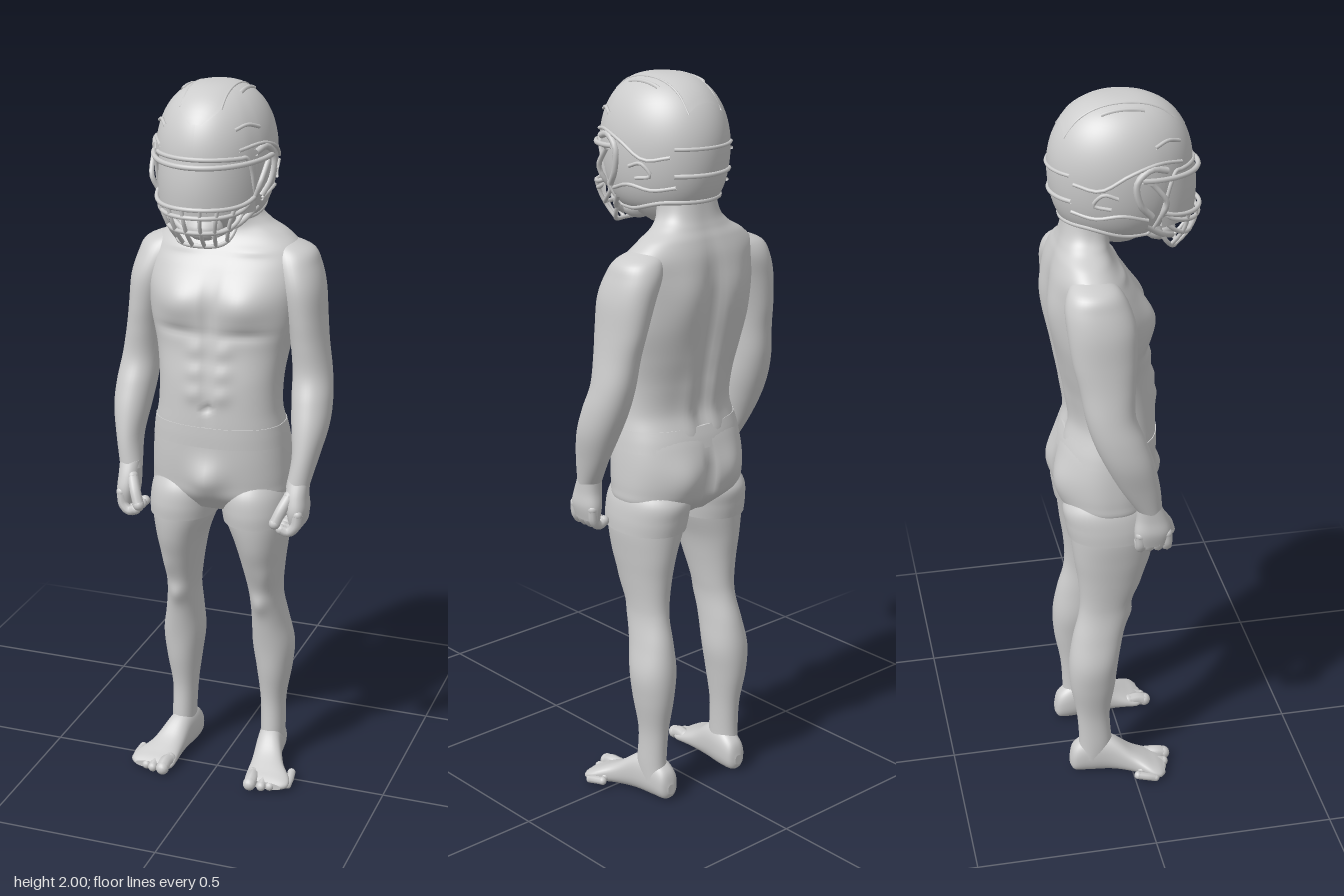
import * as THREE from 'three';

const grey = new THREE.MeshStandardMaterial({ color: 0xcccccc, side: THREE.DoubleSide });
grey.name = 'plain grey';
const V = (x, y, z) => new THREE.Vector3(x, y, z);

function add(parent, name, geometry) {
  const mesh = new THREE.Mesh(geometry, grey);
  mesh.name = name;
  parent.add(mesh);
  return mesh;
}

// Smooth loft through horizontal sections [y, centreX, halfWidth, zFront, zBack], listed upwards.
// Bumps [x, y, side, widthX, widthY, amount] swell the front (1) or back (-1), mirrored when off-centre.
function loft(sections, { side = 1, grow = 0, power = 0.85, n = 40, steps = 6, bumps = [] } = {}) {
  const pos = [], index = [];
  const last = sections.length - 1, rows = last * steps;
  const at = (i) => sections[Math.min(last, Math.max(0, i))];
  const sample = (u) => {
    const i = Math.min(last - 1, Math.floor(u)), t = u - i;
    const [a, b, c, d] = [at(i - 1), at(i), at(i + 1), at(i + 2)];
    return b.map((_, k) => 0.5 * (2 * b[k] + (c[k] - a[k]) * t
      + (2 * a[k] - 5 * b[k] + 4 * c[k] - d[k]) * t * t
      + (3 * b[k] - a[k] - 3 * c[k] + d[k]) * t * t * t));
  };
  const ring = (r) => {
    const [y, cx, rx, zf, zb] = sample(r / steps);
    for (let j = 0; j < n; j++) {
      const a = j / n * Math.PI * 2, c = Math.cos(a), s = Math.sin(a);
      const x = Math.sign(c) * Math.abs(c) ** power * (rx + grow) + cx * side;
      let z = (zf + zb) / 2 + Math.sign(s) * Math.abs(s) ** power * ((zf - zb) / 2 + grow);
      for (const [bx, by, face, wx, wy, amount] of bumps) {
        if (face * s <= 0) continue;
        const centres = bx ? [bx, -bx] : [0];
        for (const m of centres) {
          z += face * amount * Math.abs(s) * Math.exp(-(((x - m) / wx) ** 2) - ((y - by) / wy) ** 2);
        }
      }
      pos.push(x, y, z);
    }
  };
  for (let r = 0; r <= rows; r++) ring(r);
  for (let r = 0; r < rows; r++) for (let j = 0; j < n; j++) {
    const a = r * n + j, b = r * n + (j + 1) % n;
    index.push(a, a + n, b, b, a + n, b + n);
  }
  // separate end caps keep their edges crisp
  for (const r of [0, rows]) {
    const start = pos.length / 3, [y, cx, , zf, zb] = sample(r / steps);
    ring(r);
    pos.push(cx * side, y, (zf + zb) / 2);
    for (let j = 0; j < n; j++) {
      const a = start + j, b = start + (j + 1) % n;
      index.push(start + n, r ? b : a, r ? a : b);
    }
  }
  const g = new THREE.BufferGeometry();
  g.setAttribute('position', new THREE.Float32BufferAttribute(pos, 3));
  g.setIndex(index);
  g.computeVertexNormals();
  return g;
}

function tube(parent, name, points, radius, closed = false) {
  const curve = new THREE.CatmullRomCurve3(points, closed);
  add(parent, name, new THREE.TubeGeometry(curve, points.length * 3, radius, 8, closed));
}

// Tube with rounded ends
function digit(parent, name, points, radius) {
  tube(parent, name, points, radius);
  for (const p of [points[0], points.at(-1)]) ball(parent, name + 'Tip', p, radius, radius, radius);
}

function ball(parent, name, p, rx, ry, rz) {
  const mesh = add(parent, name, new THREE.SphereGeometry(1, 14, 10));
  mesh.scale.set(rx, ry, rz);
  mesh.position.copy(p);
}

function buildTorso(g) {
  const bumps = [
    [0.095, 1.415, 1, 0.075, 0.055, 0.026], [0, 1.4, 1, 0.014, 0.08, -0.012],
    [0.1, 1.335, 1, 0.07, 0.015, -0.008], [0.1, 1.55, 1, 0.06, 0.012, 0.006],
    [0, 1.2, 1, 0.01, 0.12, -0.006], [0, 1.13, 1, 0.01, 0.01, -0.014],
    [0, 1.3, -1, 0.025, 0.2, -0.02], [0.085, 1.45, -1, 0.065, 0.09, 0.018],
    [0.045, 1.15, -1, 0.028, 0.1, 0.008],
    ...[1.29, 1.23, 1.17].map((y) => [0.04, y, 1, 0.026, 0.024, 0.008]),
  ];
  add(g, 'torso', loft([
    [0.98, 0, 0.18, 0.08, -0.17], [1.05, 0, 0.184, 0.087, -0.166], [1.12, 0, 0.172, 0.087, -0.148],
    [1.2, 0, 0.172, 0.083, -0.16], [1.28, 0, 0.184, 0.07, -0.178], [1.36, 0, 0.203, 0.065, -0.19],
    [1.44, 0, 0.213, 0.054, -0.193], [1.5, 0, 0.214, 0.028, -0.193], [1.55, 0, 0.205, -0.005, -0.19],
    [1.59, 0, 0.165, -0.03, -0.18], [1.62, 0, 0.115, -0.035, -0.168], [1.66, 0, 0.086, -0.025, -0.157],
    [1.76, 0, 0.08, 0, -0.14],
  ], { bumps, n: 96, steps: 8 }));
  add(g, 'shorts', loft([
    [0.83, 0, 0.13, 0.045, -0.13], [0.87, 0, 0.19, 0.073, -0.17], [0.91, 0, 0.197, 0.08, -0.182],
    [0.97, 0, 0.195, 0.086, -0.185], [1.03, 0, 0.189, 0.088, -0.175], [1.07, 0, 0.181, 0.088, -0.161],
  ], { n: 96, bumps: [
    [0, 0.925, 1, 0.045, 0.05, 0.03], [0.085, 0.94, -1, 0.06, 0.065, 0.02], [0, 0.92, -1, 0.013, 0.07, -0.022],
  ] }));
  add(g, 'waistband', loft([
    [1.02, 0, 0.19, 0.088, -0.177], [1.05, 0, 0.186, 0.089, -0.169], [1.078, 0, 0.181, 0.089, -0.159],
  ], { grow: 0.001, n: 64 }));
}

function buildLeg(g, side) {
  const p = side > 0 ? 'left' : 'right';
  add(g, p + 'Leg', loft([
    [0.05, 0.136, 0.034, -0.055, -0.16], [0.1, 0.138, 0.034, -0.055, -0.15], [0.2, 0.136, 0.036, -0.06, -0.155],
    [0.3, 0.138, 0.05, -0.045, -0.172], [0.38, 0.136, 0.059, -0.035, -0.175], [0.46, 0.13, 0.051, -0.02, -0.163],
    [0.53, 0.125, 0.045, -0.003, -0.145], [0.58, 0.122, 0.048, 0.008, -0.14], [0.65, 0.12, 0.058, 0.035, -0.145],
    [0.72, 0.117, 0.071, 0.06, -0.155], [0.8, 0.107, 0.09, 0.073, -0.163], [0.87, 0.1, 0.09, 0.068, -0.165],
  ], { side, power: 0.95, bumps: [[0.122, 0.53, 1, 0.025, 0.03, 0.009], [0.155, 0.62, 1, 0.025, 0.04, 0.006]] }));
  add(g, p + 'ShortsLeg', loft([
    [0.79, 0.108, 0.09, 0.074, -0.163], [0.83, 0.105, 0.093, 0.077, -0.17],
    [0.88, 0.1, 0.091, 0.07, -0.172], [0.93, 0.1, 0.07, 0.04, -0.13],
  ], { side, grow: 0.005, power: 0.95 }));

  // foot: lofted upright along its length, then laid forward
  add(g, p + 'Foot', loft([
    [-0.176, 0.13, 0.012, -0.02, -0.05], [-0.163, 0.13, 0.03, -0.003, -0.088], [-0.12, 0.132, 0.037, 0, -0.115],
    [-0.06, 0.14, 0.038, 0, -0.112], [0, 0.155, 0.048, 0, -0.07], [0.045, 0.171, 0.063, 0, -0.047],
    [0.072, 0.174, 0.064, 0, -0.035], [0.088, 0.17, 0.052, -0.004, -0.026],
  ], { side }).rotateX(Math.PI / 2));
  for (let i = 0; i < 5; i++) {
    const x = (i ? 0.143 + i * 0.0225 : 0.133) * side, r = i ? 0.0145 - i * 0.0007 : 0.019;
    const z = 0.1 - i * 0.005 - i * i * 0.0015;
    digit(g, p + 'Toe', [V(x - 0.004 * side, 0.024, z - 0.05), V(x, r + 0.006, z - 0.02), V(x, r, z)], r);
  }
}

function buildArm(g, side) {
  const p = side > 0 ? 'left' : 'right';
  add(g, p + 'Arm', loft([
    [0.92, 0.242, 0.031, 0.064, 0.0], [1.0, 0.255, 0.036, 0.055, -0.05], [1.08, 0.258, 0.05, 0.038, -0.092],
    [1.15, 0.254, 0.055, 0.015, -0.122], [1.22, 0.247, 0.053, -0.01, -0.142], [1.3, 0.237, 0.05, -0.008, -0.155],
    [1.37, 0.227, 0.052, -0.002, -0.17], [1.45, 0.212, 0.06, 0.0, -0.18], [1.51, 0.193, 0.063, -0.015, -0.182],
    [1.55, 0.175, 0.06, -0.038, -0.168], [1.575, 0.14, 0.035, -0.07, -0.14],
  ], { side, power: 0.95 }));
  add(g, p + 'Palm', loft([
    [0.82, 0.246, 0.02, 0.08, -0.008], [0.86, 0.247, 0.029, 0.087, -0.012], [0.9, 0.244, 0.03, 0.077, -0.006],
    [0.94, 0.244, 0.03, 0.06, -0.005],
  ], { side, n: 32 }));
  for (let i = 0; i < 4; i++) {
    const z = 0.003 + i * 0.024;
    digit(g, p + 'Finger', [V(0.256 * side, 0.855, z), V(0.25 * side, 0.82, z + 0.002),
      V(0.232 * side, 0.804, z + 0.004), V(0.212 * side, 0.81, z + 0.006)], 0.0145);
  }
  digit(g, p + 'Thumb', [V(0.228 * side, 0.9, 0.06), V(0.212 * side, 0.865, 0.082), V(0.198 * side, 0.83, 0.094)], 0.016);
}

// Helmet shell point at height y and angle phi from the front, pushed out by off
function onShell(y, phi, off = 0) {
  const c = THREE.MathUtils.clamp((y - 1.82) / 0.18, -1, 1);
  const s = Math.sqrt(1 - c * c) ** (c > 0 ? 0.75 : 0.45);
  return V((0.156 * s + off) * Math.sin(phi), y + off * Math.max(0, c), -0.002 + (0.188 * s + off) * Math.cos(phi));
}
const shellEdge = (phi) => {
  const a = Math.abs(Math.atan2(Math.sin(phi), Math.cos(phi)));
  return 1.83 - 0.17 * THREE.MathUtils.smoothstep(a, 0.9, 1.2) + 0.028 * THREE.MathUtils.smoothstep(a, 1.5, 2.4);
};
// Point on the shell top above x, z
const shellTop = (x, z, off) => {
  const r = Math.min(1, Math.hypot(x / 0.156, (z + 0.002) / 0.188)) ** (4 / 3);
  return V(x, 1.82 + 0.18 * Math.sqrt(Math.max(0, 1 - r * r)) + off, z);
};

function grid(nu, nv, point) {
  const geo = new THREE.PlaneGeometry(1, 1, nu, nv), a = geo.attributes.position;
  for (let i = 0; i < a.count; i++) {
    const q = point(a.getX(i) + 0.5, 0.5 - a.getY(i));
    a.setXYZ(i, q.x, q.y, q.z);
  }
  geo.computeVertexNormals();
  return geo;
}

function buildHelmet(g) {
  ball(g, 'head', V(0, 1.77, -0.005), 0.115, 0.165, 0.145);
  add(g, 'helmetShell', grid(96, 32, (u, v) => {
    const phi = u * Math.PI * 2, t = v * Math.acos((shellEdge(phi) - 1.82) / 0.18);
    return onShell(1.82 + 0.18 * Math.cos(t), phi);
  }));
  const rim = Array.from({ length: 64 }, (_, i) => i / 32 * Math.PI);
  tube(g, 'shellRim', rim.map((phi) => onShell(shellEdge(phi), phi)), 0.006, true);

  // raised crown panel, its seams and the crown vents
  add(g, 'crownPanel', grid(12, 32, (u, v) => {
    const z = -0.155 + 0.32 * v, w = 0.055 * Math.min(1, Math.sqrt(Math.max(0, 0.168 - z) / 0.04));
    return shellTop((u * 2 - 1) * w, z, 0.002);
  }));
  for (const s of [1, -1]) {
    const line = (x, z0, z1, off) => Array.from({ length: 9 }, (_, i) => shellTop(x * s, z0 + (z1 - z0) * i / 8, off));
    tube(g, 'crownSeam', line(0.055, -0.155, 0.125, 0), 0.003);
    tube(g, 'crownVent', line(0.078, -0.065, 0.045, -0.001), 0.006);
    // side ridges, ear vents and cage clips
    const ridge = (name, list, r) => tube(g, name, list.map(([y, a]) => onShell(y, a * s, 0.002)), r);
    ridge('sideRidge', [[1.85, 0.75], [1.86, 1.2], [1.84, 1.6], [1.8, 2.0], [1.81, 2.4]], 0.005);
    ridge('sideVent', [[1.9, 0.7], [1.91, 0.95], [1.9, 1.2]], 0.005);
    ridge('earVent', [[1.78, 1.75], [1.79, 1.95], [1.76, 2.1], [1.75, 1.85]], 0.005);
    ridge('jawRidge', [[1.71, 1.3], [1.73, 1.7], [1.72, 2.1], [1.73, 2.5]], 0.005);
    ridge('cageClip', [[1.84, 1.05], [1.85, 1.3], [1.82, 1.5], [1.76, 1.45], [1.72, 1.25]], 0.009);
    tube(g, 'chinStrap', [V(0.125 * s, 1.69, 0.04), V(0.09 * s, 1.65, 0.09), V(0.03 * s, 1.62, 0.13)], 0.008);
  }
  for (const [y, r] of [[1.83, 0.005], [1.76, 0.006]]) {
    tube(g, 'rearBumper', Array.from({ length: 9 }, (_, i) => onShell(y, Math.PI + (i - 4) * 0.17, 0.001)), r);
  }

  // visor, chin cup and face cage
  add(g, 'visor', grid(32, 6, (u, v) => {
    const a = (u - 0.5) * 2.3;
    return V(0.146 * Math.sin(a), 1.825 - 0.14 * v, 0.19 * Math.cos(a) + 0.006 * Math.sin(v * Math.PI));
  }));
  ball(g, 'chinCup', V(0, 1.635, 0.1), 0.05, 0.033, 0.045);
  const arc = (f) => Array.from({ length: 17 }, (_, i) => f(i / 8 - 1));
  tube(g, 'browBar', arc((a) => V(0.16 * Math.sin(a * 1.45), 1.812 + 0.012 * a * a, 0.2 * Math.cos(a * 1.45))), 0.007);
  const cage = (a, v) => V((0.135 - 0.045 * v) * Math.sin(a * 1.4), 1.705 - 0.108 * v + (0.02 + 0.06 * v) * a ** 4,
    (0.205 - 0.06 * v * v) * Math.cos(a * (1.15 - 0.15 * v)));
  for (const v of [0, 0.2, 0.6, 1]) tube(g, 'cageBar', arc((a) => cage(a, v)), 0.006);
  for (const a of [-0.62, -0.37, -0.13, 0.13, 0.37, 0.62]) {
    tube(g, 'cageUpright', [0, 0.35, 0.7, 1].map((v) => cage(a, v)), 0.0055);
  }
  for (const s of [1, -1]) {
    tube(g, 'cageSide', [V(0.157 * s, 1.815, 0.05), V(0.148 * s, 1.76, 0.09), cage(s, 0), cage(s, 1)], 0.007);
  }
}

export function createModel() {
  const model = new THREE.Group();
  model.name = 'helmetedFigure';
  const part = (name, build, side) => {
    const g = new THREE.Group();
    g.name = name;
    build(g, side);
    model.add(g);
  };
  part('body', buildTorso);
  part('helmet', buildHelmet);
  for (const side of [1, -1]) {
    part(side > 0 ? 'leftLegGroup' : 'rightLegGroup', buildLeg, side);
    part(side > 0 ? 'leftArmGroup' : 'rightArmGroup', buildArm, side);
  }
  return model;
}
